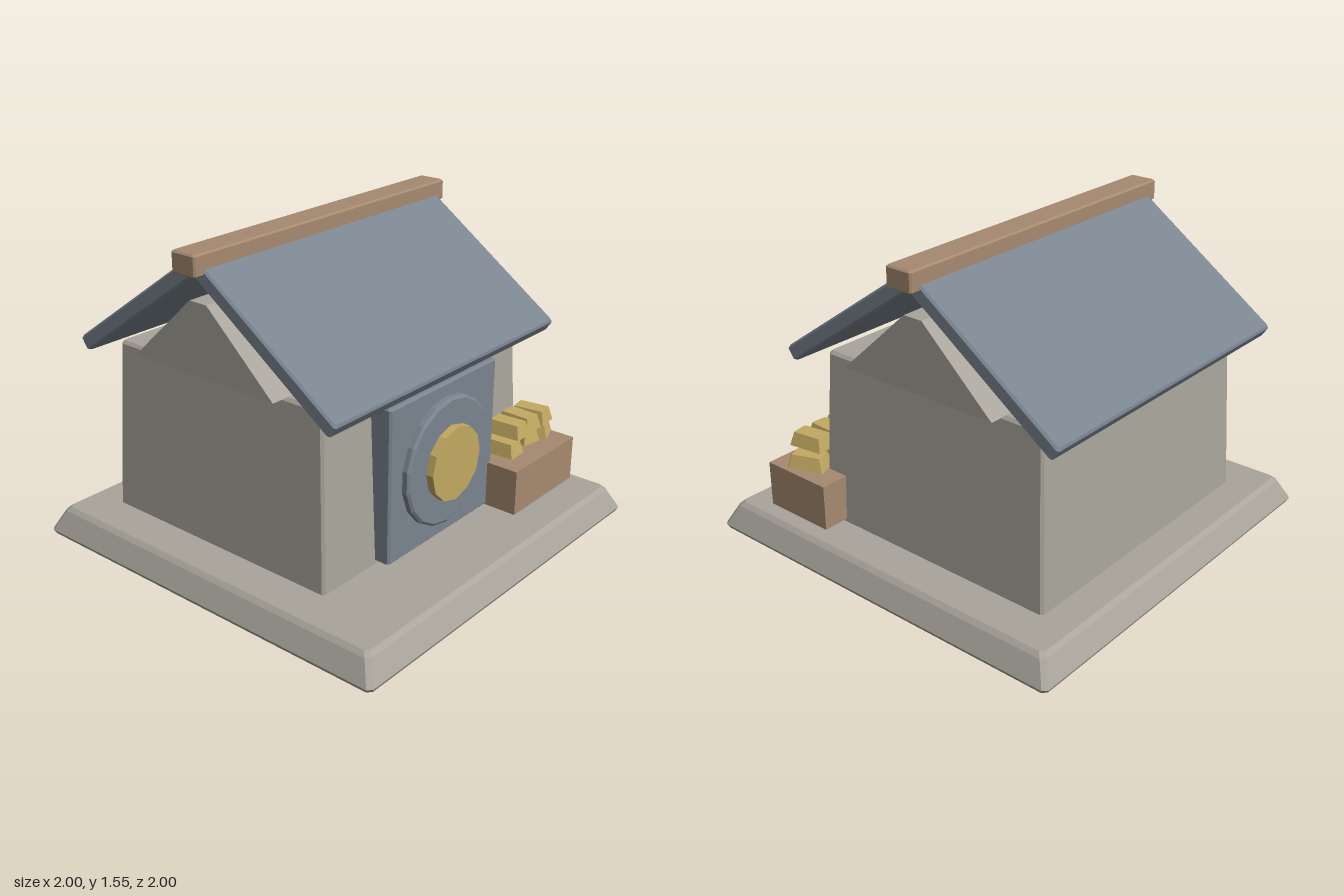
import * as THREE from 'three';

const mat = (name, color) => {
  const m = new THREE.MeshStandardMaterial({ color });
  m.name = name;
  return m;
};

// Faceted copy of a geometry, for crisp low-poly faces
function faceted(geo) {
  const g = geo.index ? geo.toNonIndexed() : geo;
  g.computeVertexNormals();
  return g;
}

// Solid lofted through chamfered rectangles, each given as [y, halfX, halfZ, chamfer]
function loft(sections) {
  const rings = sections.map(([y, x, z, c]) => [
    [x, z - c], [x - c, z], [-x + c, z], [-x, z - c],
    [-x, -z + c], [-x + c, -z], [x - c, -z], [x, -z + c],
  ].map(([px, pz]) => [px, y, pz]));
  const pos = [];
  const tri = (a, b, c) => pos.push(...a, ...b, ...c);
  for (let i = 0; i < rings.length - 1; i++) {
    for (let j = 0; j < 8; j++) {
      const k = (j + 1) % 8;
      const [a, b, c, d] = [rings[i][j], rings[i][k], rings[i + 1][k], rings[i + 1][j]];
      tri(a, c, b);
      tri(a, d, c);
    }
  }
  const low = rings[0], top = rings[rings.length - 1];
  for (let j = 1; j < 7; j++) {
    tri(low[0], low[j], low[j + 1]);
    tri(top[0], top[j + 1], top[j]);
  }
  const g = new THREE.BufferGeometry();
  g.setAttribute('position', new THREE.Float32BufferAttribute(pos, 3));
  g.computeVertexNormals();
  return g;
}

// Box with small chamfers, centred on the origin
function chamferBox(w, h, d, b) {
  const x = w / 2, y = h / 2, z = d / 2;
  return loft([[-y, x - b, z - b, b], [-y + b, x, z, b], [y - b, x, z, b], [y, x - b, z - b, b]]);
}

export function createModel() {
  const model = new THREE.Group();
  model.name = 'vaultHouse';
  const stone = mat('stone', 0xa9a59c);
  const slate = mat('slate', 0x7a8490);
  const wood = mat('wood', 0xa68a70);
  const gold = mat('gold', 0xc3aa62);

  const add = (name, geo, material, x = 0, y = 0, z = 0, parent = model) => {
    const m = new THREE.Mesh(geo, material);
    m.name = name;
    m.position.set(x, y, z);
    parent.add(m);
    return m;
  };

  const MID = -0.12; // z of the ridge line

  // Stone plinth and tapering walls
  add('plinth', loft([
    [0, 0.99, 0.99, 0.02], [0.02, 1, 1, 0.02], [0.12, 0.95, 0.95, 0.02], [0.14, 0.93, 0.93, 0.02],
  ]), stone);
  add('walls', loft([
    [0.13, 0.74, 0.655, 0.012], [0.965, 0.702, 0.618, 0.012], [0.98, 0.69, 0.606, 0.012],
  ]), stone, 0, 0, MID);

  // Gable block running under the roof, overhanging the side walls
  const profile = new THREE.Shape();
  profile.moveTo(-0.42, 0.98);
  profile.lineTo(0.42, 0.98);
  profile.lineTo(0.05, 1.32);
  profile.lineTo(-0.05, 1.32);
  profile.closePath();
  const gable = new THREE.ExtrudeGeometry(profile, { depth: 1.56, bevelEnabled: false });
  gable.translate(0, 0, -0.78);
  gable.rotateY(Math.PI / 2);
  add('gable', faceted(gable), stone, 0, 0, MID);

  // Two roof slabs meeting at the ridge
  const run = 0.757, drop = 0.532;
  const slab = chamferBox(1.61, 0.075, Math.hypot(run, drop), 0.01);
  for (const side of [1, -1]) {
    const roof = add(side > 0 ? 'frontRoof' : 'backRoof', slab, slate,
      0, 0.955 + drop / 2, MID + side * run / 2);
    roof.rotation.x = side * Math.atan2(drop, run);
  }
  add('ridgeBeam', chamferBox(1.71, 0.1, 0.14, 0.008), wood, 0, 1.505, MID);

  // Vault door with raised round plate and gold boss
  const door = new THREE.Group();
  door.name = 'door';
  model.add(door);
  add('doorSlab', chamferBox(0.785, 0.755, 0.13, 0.01), slate, 0, 0.53, 0.545, door);
  const disc = (name, rTop, rBottom, depth, sides, material, z) => {
    const g = new THREE.CylinderGeometry(rTop, rBottom, depth, sides);
    g.rotateX(Math.PI / 2);
    add(name, faceted(g), material, 0, 0.535, z + depth / 2, door);
  };
  disc('roundPlate', 0.31, 0.31, 0.035, 18, slate, 0.6);
  disc('roundPlateBevel', 0.297, 0.31, 0.01, 18, slate, 0.635);
  disc('boss', 0.18, 0.18, 0.045, 12, gold, 0.637);

  // Crate heaped with gold bars
  const crate = new THREE.Group();
  crate.name = 'crate';
  model.add(crate);
  add('crateBox', new THREE.BoxGeometry(0.51, 0.225, 0.375), wood, 0.615, 0.2675, 0.5875, crate);
  const bar = loft([[0, 0.056, 0.092, 0.004], [0.066, 0.04, 0.075, 0.004]]);
  const bars = [ // x, y, z, turn
    [0.495, 0.388, 0.6, 0.05], [0.64, 0.41, 0.6, -0.15], [0.775, 0.388, 0.59, 0.35],
    [0.525, 0.478, 0.61, 0.06], [0.635, 0.478, 0.605, -0.05], [0.74, 0.478, 0.605, 0.15],
  ];
  bars.forEach(([x, y, z, turn], i) => {
    add('goldBar' + (i + 1), bar, gold, x, y, z, crate).rotation.y = turn;
  });

  return model;
}
